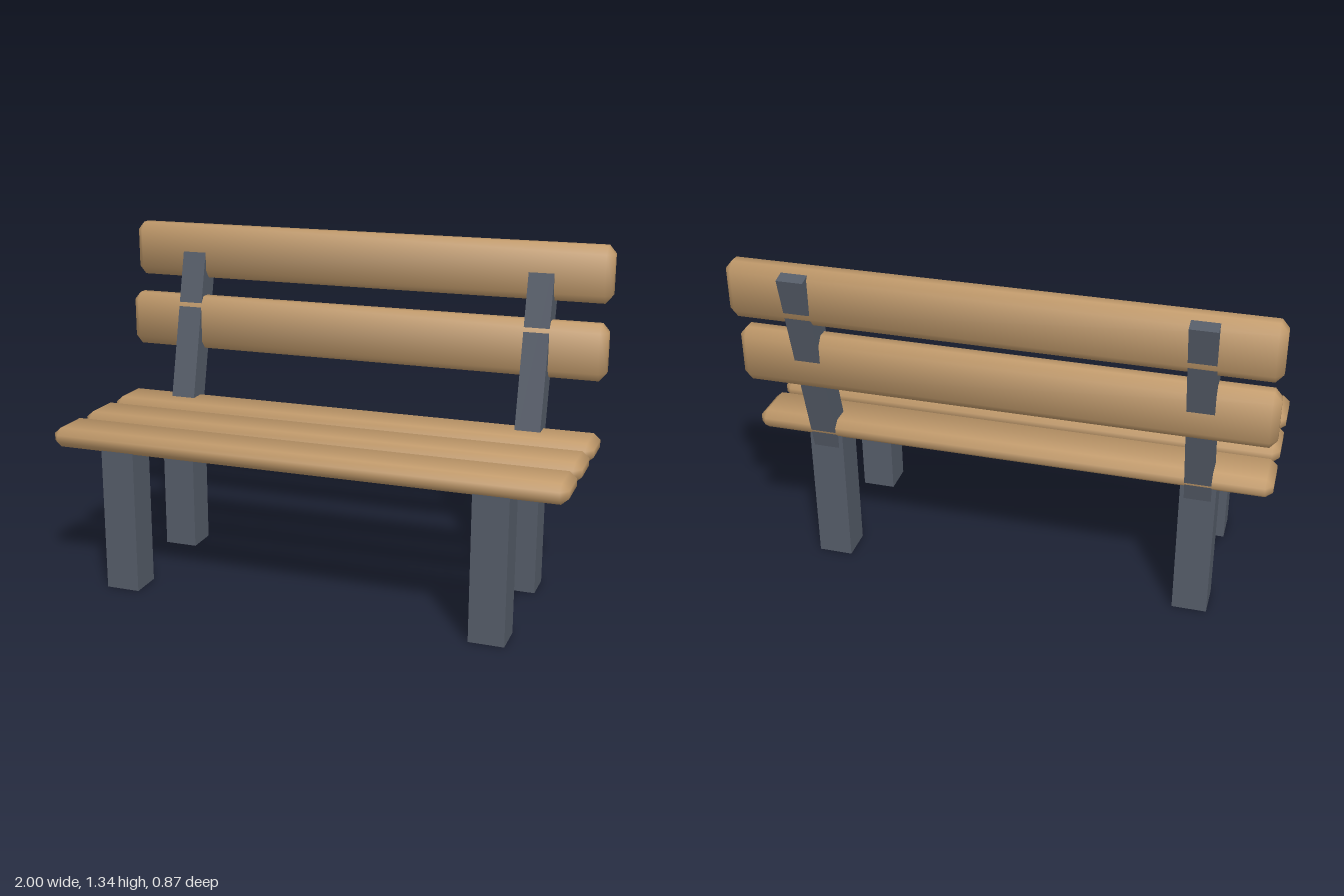
import * as THREE from 'three';
import { ConvexGeometry } from 'three/addons/geometries/ConvexGeometry.js';

const wood = new THREE.MeshStandardMaterial({ color: 0xc19a6b });
wood.name = 'wood';
const steel = new THREE.MeshStandardMaterial({ color: 0x555c68 });
steel.name = 'slate steel';

// Box with chamfered edges and softly blended normals.
// size and bevel are [x, y, z]
function bevelledBox(size, bevel) {
  const half = size.map((s) => s / 2);
  const points = [];
  for (const sx of [-1, 1]) for (const sy of [-1, 1]) for (const sz of [-1, 1]) {
    const sign = [sx, sy, sz];
    // one corner point for each of the three faces that meet here
    for (let face = 0; face < 3; face++) {
      const p = sign.map((s, i) => s * (half[i] - (i === face ? 0 : bevel[i])));
      points.push(new THREE.Vector3(...p));
    }
  }
  const geometry = new ConvexGeometry(points);
  const pos = geometry.attributes.position;
  const n = new THREE.Vector3();
  for (let i = 0; i < pos.count; i++) {
    const p = [pos.getX(i), pos.getY(i), pos.getZ(i)];
    // lean each normal from its own face towards the neighbouring chamfers
    n.set(...p.map((v, k) => Math.sign(v) * (Math.abs(v) > half[k] - 1e-4 ? 3 : 1.28))).normalize();
    geometry.attributes.normal.setXYZ(i, n.x, n.y, n.z);
  }
  return geometry;
}

function add(parent, name, geometry, material, x, y, z) {
  const mesh = new THREE.Mesh(geometry, material);
  mesh.name = name;
  mesh.position.set(x, y, z);
  parent.add(mesh);
  return mesh;
}

export function createModel() {
  const bench = new THREE.Group();
  bench.name = 'bench';

  // Seat slats
  const seatSlat = bevelledBox([2, 0.076, 0.2], [0.027, 0.024, 0.028]);
  [0.337, 0.092, -0.153].forEach((z, i) => add(bench, `seatSlat${i + 1}`, seatSlat, wood, 0, 0.597, z));

  // Back slats
  const backSlat = bevelledBox([2, 0.22, 0.088], [0.027, 0.032, 0.025]);
  add(bench, 'lowerBackSlat', backSlat, wood, 0, 0.935, -0.298);
  add(bench, 'upperBackSlat', backSlat, wood, 0, 1.225, -0.354);

  // Legs and leaning back posts, mirrored left and right
  const leg = new THREE.BoxGeometry(0.134, 0.6, 0.131);
  const post = new THREE.BoxGeometry(0.1, 0.82, 0.1);
  for (const [side, s] of [['left', 1], ['right', -1]]) {
    add(bench, `${side}FrontLeg`, leg, steel, s * 0.73, 0.3, 0.347);
    add(bench, `${side}BackLeg`, leg, steel, s * 0.73, 0.3, -0.165);
    add(bench, `${side}BackPost`, post, steel, s * 0.73, 0.92, -0.285).rotation.x = -0.248;
  }

  return bench;
}
